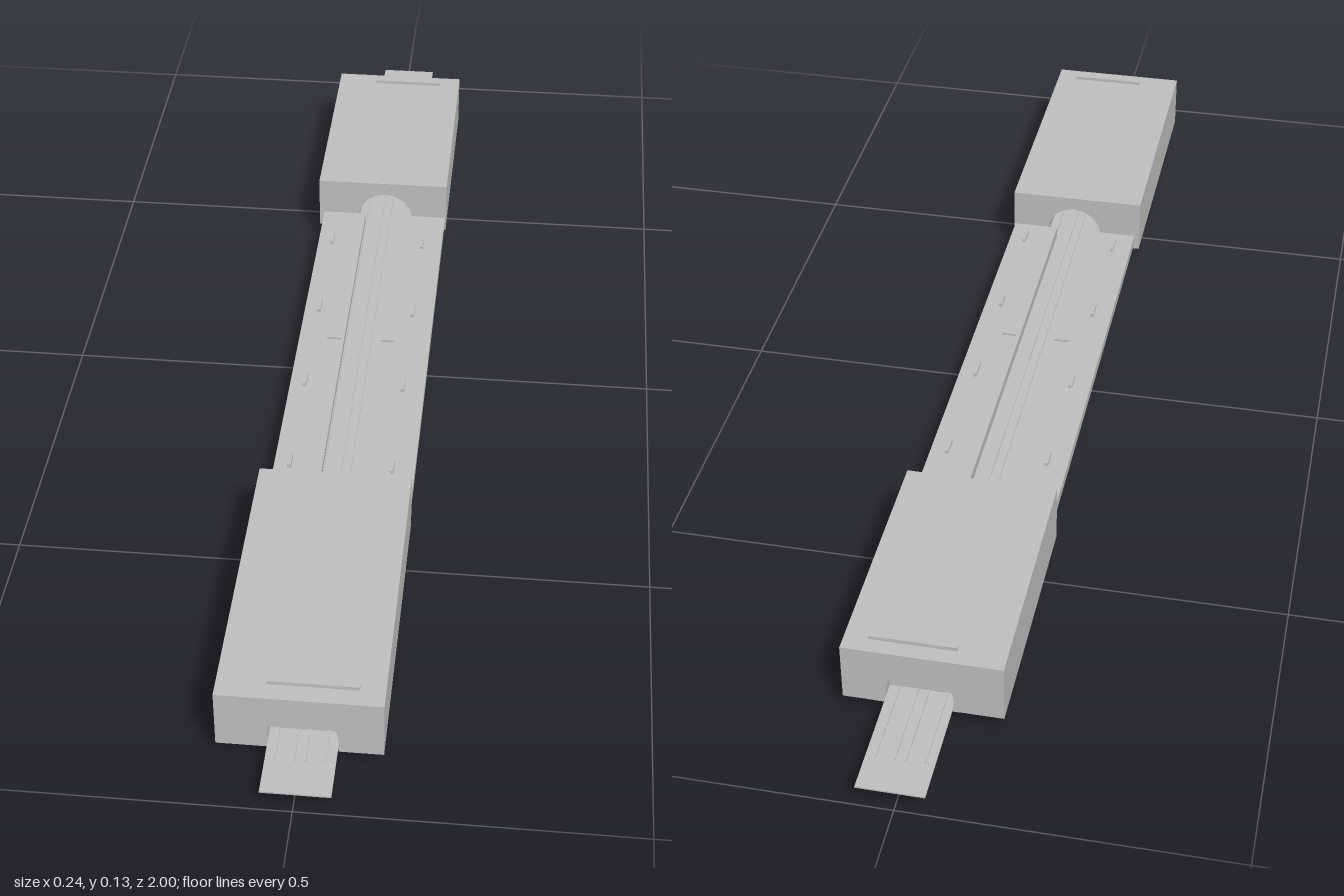
import * as THREE from 'three';

export function createModel() {
  const root = new THREE.Group();
  const concrete = new THREE.MeshStandardMaterial({ color: 0xbfbfbf });
  concrete.name = 'concreteGrey';

  function add(name, geometry) {
    const mesh = new THREE.Mesh(geometry, concrete);
    mesh.name = name;
    root.add(mesh);
    return mesh;
  }
  // Box given by its minimum and maximum on each axis
  function box(name, x0, x1, y0, y1, z0, z1) {
    const g = new THREE.BoxGeometry(x1 - x0, y1 - y0, z1 - z0);
    g.translate((x0 + x1) / 2, (y0 + y1) / 2, (z0 + z1) / 2);
    return add(name, g);
  }

  // Tunnel blocks with an arched passage open at the bottom
  const mid = 0.0045, r = 0.0505, spring = 0.049;
  function tunnel(name, z0, z1) {
    const s = new THREE.Shape();
    s.moveTo(-0.121, 0.027);
    s.lineTo(mid - r, 0.027);
    s.lineTo(mid - r, spring);
    s.absarc(mid, spring, r, Math.PI, 0, true);
    s.lineTo(mid + r, 0.027);
    s.lineTo(0.12, 0.027);
    s.lineTo(0.12, 0.124);
    s.lineTo(-0.121, 0.124);
    s.closePath();
    const g = new THREE.ExtrudeGeometry(s, { depth: z1 - z0, bevelEnabled: false, curveSegments: 16 });
    g.translate(0, 0, z0);
    add(name, g);
  }
  tunnel('frontTunnel', 0.42, 0.908);
  tunnel('backTunnel', -0.825, -0.42);

  // Thin gates crossing each tunnel near its outer end
  box('frontGate', -0.048, 0.083, 0, 0.13, 0.874, 0.88);
  box('backGate', -0.048, 0.083, 0, 0.13, -0.8, -0.794);

  // Track bed with two pairs of rails
  box('trackBed', mid - r, mid + r, 0.0345, 0.037, -1, 1);
  for (const x of [-0.032, -0.004, 0.012, 0.04]) {
    box('rail', x - 0.001, x + 0.001, 0.037, 0.0395, -0.94, 0.94);
  }

  // Platforms on both sides of the track
  box('rightPlatform', -0.112, -0.033, 0.037, 0.055, -0.42, 0.42);
  box('leftPlatform', 0.037, 0.118, 0.037, 0.055, -0.42, 0.42);

  // Hanging signs along the platforms
  for (const x of [-0.083, 0.083]) {
    for (const z of [-0.295, -0.083, 0.13, 0.343]) {
      box('sign', x - 0.003, x + 0.003, 0.077, 0.083, z - 0.016, z + 0.016);
    }
  }
  // Crosswise signs at the middle
  box('rightCrossSign', -0.058, -0.033, 0.086, 0.09, 0.018, 0.022);
  box('leftCrossSign', 0.036, 0.059, 0.086, 0.09, 0.018, 0.022);

  return root;
}
